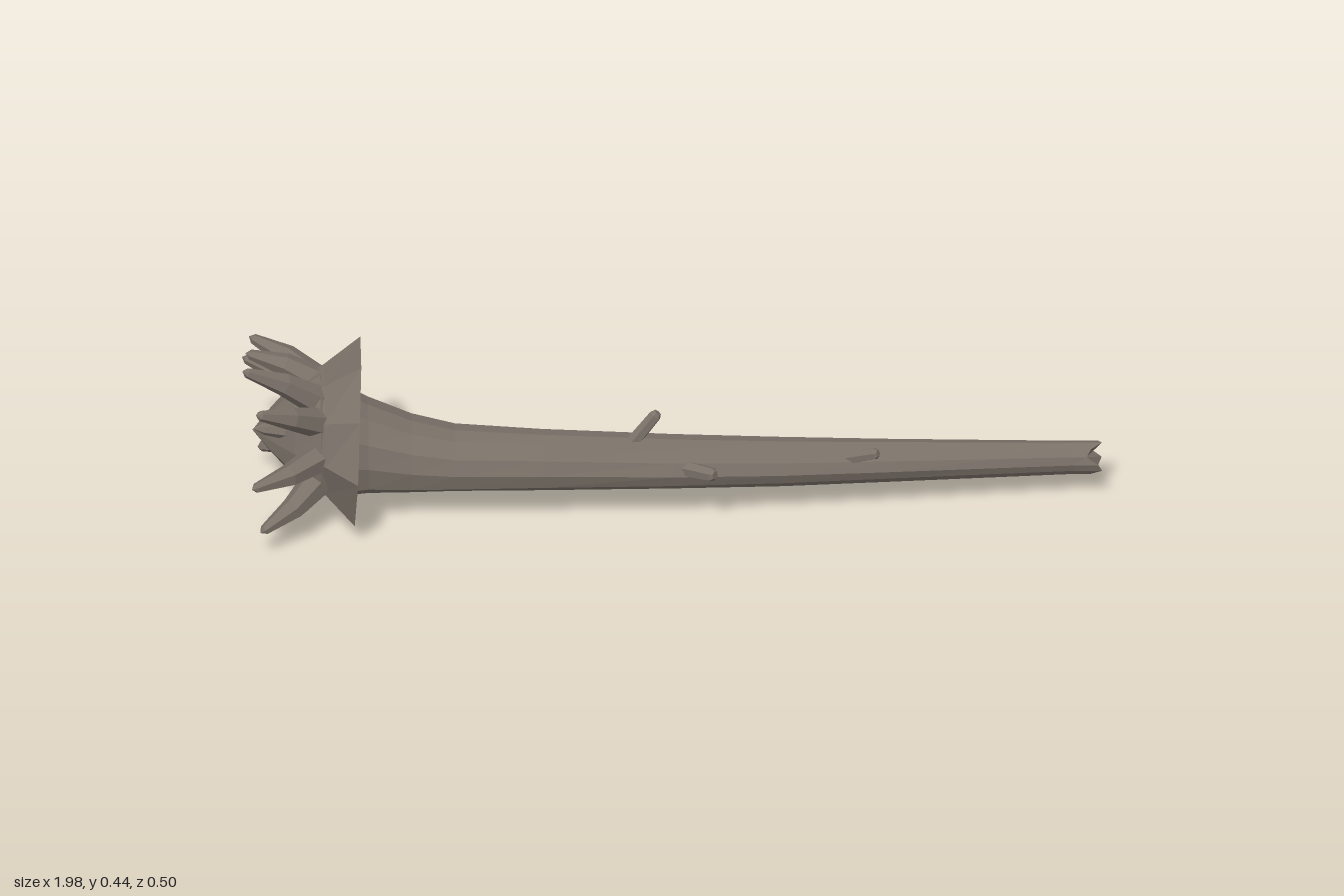
import * as THREE from 'three';

const V = (x, y, z) => new THREE.Vector3(x, y, z);

// Skin a list of equal-length closed rings
function loft(rings) {
  const pos = [];
  const tri = (...p) => p.forEach(v => pos.push(v.x, v.y, v.z));
  for (let i = 0; i < rings.length - 1; i++) {
    const a = rings[i], b = rings[i + 1], n = a.length;
    for (let j = 0; j < n; j++) {
      const k = (j + 1) % n;
      tri(a[j], a[k], b[j]);
      tri(a[k], b[k], b[j]);
    }
  }
  const g = new THREE.BufferGeometry();
  g.setAttribute('position', new THREE.Float32BufferAttribute(pos, 3));
  g.computeVertexNormals();
  return g;
}

// Elliptical ring across the x axis, with slight ridges
function ring(x, cy, cz, ry, rz, sides, ridge = 0) {
  return Array.from({ length: sides }, (_, j) => {
    const a = (j / sides) * Math.PI * 2;
    const k = 1 + ridge * Math.sin(j * 2.4 + x * 2);
    return V(x, cy + Math.cos(a) * ry * k, cz + Math.sin(a) * rz * k);
  });
}

// Tapered branch through points
function branch(points, radii, sides) {
  const rings = points.map((p, i) => {
    const dir = points[Math.min(i + 1, points.length - 1)].clone()
      .sub(points[Math.max(i - 1, 0)]).normalize();
    const q = new THREE.Quaternion().setFromUnitVectors(V(1, 0, 0), dir);
    return ring(0, 0, 0, radii[i], radii[i], sides).map(v => v.applyQuaternion(q).add(p));
  });
  return loft(rings);
}

export function createModel() {
  const group = new THREE.Group();
  const bark = new THREE.MeshStandardMaterial({ color: 0x7a7168, flatShading: true });
  bark.name = 'bark';
  const thinBark = bark.clone();
  thinBark.name = 'bark';
  thinBark.side = THREE.DoubleSide;
  const add = (name, geometry, material = bark) => {
    const mesh = new THREE.Mesh(geometry, material);
    mesh.name = name;
    group.add(mesh);
  };

  // Bent trunk: x, centre y, centre z, radius y, radius z
  const sides = 12;
  const sections = [
    [-0.81, 0.22, 0, 0.15, 0.15], [-0.76, 0.19, 0, 0.133, 0.13],
    [-0.7, 0.175, 0, 0.115, 0.108], [-0.6, 0.157, 0.008, 0.092, 0.093],
    [-0.5, 0.149, 0.016, 0.077, 0.083], [-0.3, 0.149, 0.03, 0.071, 0.07],
    [0, 0.145, 0.035, 0.061, 0.065], [0.25, 0.136, 0.025, 0.055, 0.058],
    [0.5, 0.127, 0.008, 0.048, 0.049], [0.75, 0.116, -0.014, 0.042, 0.041],
    [0.92, 0.109, -0.028, 0.038, 0.036]
  ];
  const rings = sections.map(s => ring(...s, sides, 0.035));
  // Splintered broken end with a sunken middle
  const rim = ring(0.965, 0.107, -0.031, 0.038, 0.036, sides, 0.03);
  rim.forEach((v, j) => { v.x += [0.02, -0.005, -0.015, 0.012][j % 4]; });
  rings.push(rim, ring(0.95, 0.107, -0.031, 0, 0, sides));
  add('trunk', loft(rings));

  // Pointed root dome
  add('rootDome', loft([
    ring(-0.965, 0.22, 0, 0, 0, sides), ring(-0.925, 0.22, 0, 0.05, 0.05, sides, 0.05),
    ring(-0.87, 0.22, 0, 0.11, 0.11, sides, 0.04), ring(-0.81, 0.22, 0, 0.15, 0.15, sides, 0.035)
  ]));

  // Flared collar: rim corners as z, y
  const corners = [
    [0.07, 0.43], [0.15, 0.33], [0.23, 0.21], [0.165, 0.06], [0.065, 0.012],
    [-0.065, 0.012], [-0.185, 0.085], [-0.2, 0.2], [-0.188, 0.345], [-0.065, 0.43]
  ];
  const outer = corners.map(([z, y]) => V(-0.735 + (y - 0.01) * 0.045, y, z));
  const inner = outer.map(v => {
    const d = V(0, v.y - 0.22, v.z).setLength(0.155);
    return V(-0.8, 0.22 + d.y, d.z);
  });
  const back = inner.map(v => V(-0.83, 0.22 + (v.y - 0.22) * 0.88, v.z * 0.88));
  add('collar', loft([back, inner, outer]), thinBark);

  // Splayed root spikes: tip positions
  const tips = [
    [-0.99, 0.442, 0.1], [-0.96, 0.385, 0.2], [-0.97, 0.215, 0.25], [-0.95, 0.075, 0.215],
    [-0.93, 0.012, 0.08], [-0.87, 0.013, -0.12], [-0.95, 0.06, -0.18],
    [-0.985, 0.26, -0.25], [-0.97, 0.36, -0.18], [-0.98, 0.39, -0.06]
  ];
  tips.forEach(([x, y, z]) => {
    const tip = V(x, y, z);
    const base = V(0, y - 0.22, z).setLength(0.105).add(V(-0.8, 0.22, 0));
    const mid = base.clone().lerp(tip, 0.5).add(V(0, (y - 0.22) * 0.06, z * 0.06));
    const near = mid.clone().lerp(tip, 0.88);
    add('rootSpike', branch([base, mid, near, tip], [0.038, 0.027, 0.012, 0], 6));
  });
  add('rootSpike', branch([V(-0.85, 0.25, 0.05), V(-0.94, 0.264, 0.066), V(-0.965, 0.267, 0.07)],
    [0.03, 0.014, 0], 6));

  // Broken twigs: start, end, radius
  [
    [V(-0.1, 0.19, 0.035), V(-0.035, 0.272, 0.022), 0.015],
    [V(0.03, 0.155, 0.08), V(0.095, 0.168, 0.13), 0.017],
    [V(0.4, 0.155, 0.04), V(0.47, 0.186, 0.07), 0.014]
  ].forEach(([a, b, r]) => {
    add('twig', branch([a, a.clone().lerp(b, 0.9), b, b], [r * 1.15, r, r * 0.6, 0], 6));
  });
  return group;
}
